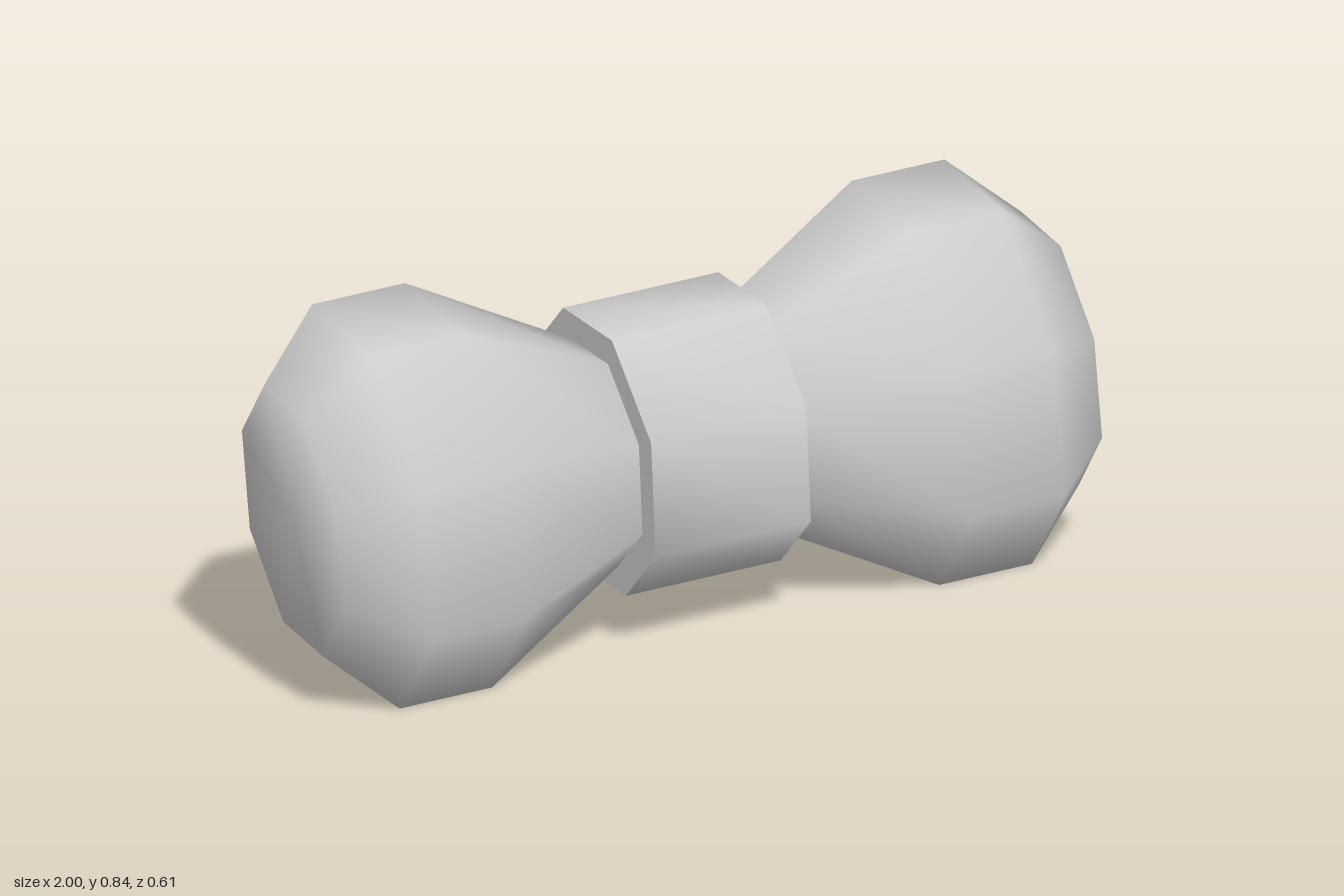
import * as THREE from 'three';

const CENTRE_Y = 0.424;

// Half of each tilted octagon as [z, y]; the other half is its point reflection.
const closeRing = (half) => [...half, ...half.map(([z, y]) => [-z, -y])];
const wingRing = closeRing([[0.06, 0.373], [-0.175, 0.421], [-0.307, 0.222], [-0.26, -0.108]]);
const knotRing = closeRing([[0.07, 0.283], [-0.125, 0.3], [-0.245, 0.172], [-0.227, -0.09]]);
const scaled = (ring, s) => ring.map(([z, y]) => [z * s, y * s]);

// Lofts octagonal sections [x, ring] in order of rising x, closed at both ends.
function loft(sections, sharpEnds) {
  const pos = [];
  const index = [];
  const n = sections[0][1].length;
  const addRing = ([x, ring]) => {
    const start = pos.length / 3;
    for (const [z, y] of ring) pos.push(x, y, z);
    return start;
  };
  const starts = sections.map(addRing);
  for (let i = 0; i < starts.length - 1; i++) {
    for (let j = 0; j < n; j++) {
      const k = (j + 1) % n;
      const a = starts[i] + j, b = starts[i] + k;
      const c = starts[i + 1] + j, d = starts[i + 1] + k;
      index.push(a, c, b, b, c, d);
    }
  }
  // End caps: own vertices give a hard rim, shared ones a soft rim
  for (const end of [0, sections.length - 1]) {
    const start = sharpEnds ? addRing(sections[end]) : starts[end];
    const centre = pos.length / 3;
    pos.push(sections[end][0], 0, 0);
    for (let j = 0; j < n; j++) {
      const a = start + j, b = start + (j + 1) % n;
      if (end === 0) index.push(centre, a, b);
      else index.push(centre, b, a);
    }
  }
  const geometry = new THREE.BufferGeometry();
  geometry.setAttribute('position', new THREE.Float32BufferAttribute(pos, 3));
  geometry.setIndex(index);
  geometry.computeVertexNormals();
  return geometry;
}

export function createModel() {
  const group = new THREE.Group();
  group.name = 'bowTie';
  const material = new THREE.MeshStandardMaterial({ color: 0xcccccc });
  const add = (name, geometry) => {
    const mesh = new THREE.Mesh(geometry, material);
    mesh.name = name;
    mesh.position.y = CENTRE_Y;
    group.add(mesh);
  };

  // Puffed wings, narrow where they enter the knot
  const wing = [
    [0.2, scaled(knotRing, 0.78)],
    [0.59, wingRing],
    [0.835, wingRing],
    [1, scaled(wingRing, 0.67)],
  ];
  add('leftWing', loft(wing, false));
  add('rightWing', loft(wing.map(([x, ring]) => [-x, ring]).reverse(), false));

  // Centre knot band
  add('knot', loft([[-0.205, knotRing], [0.205, knotRing]], true));

  return group;
}
